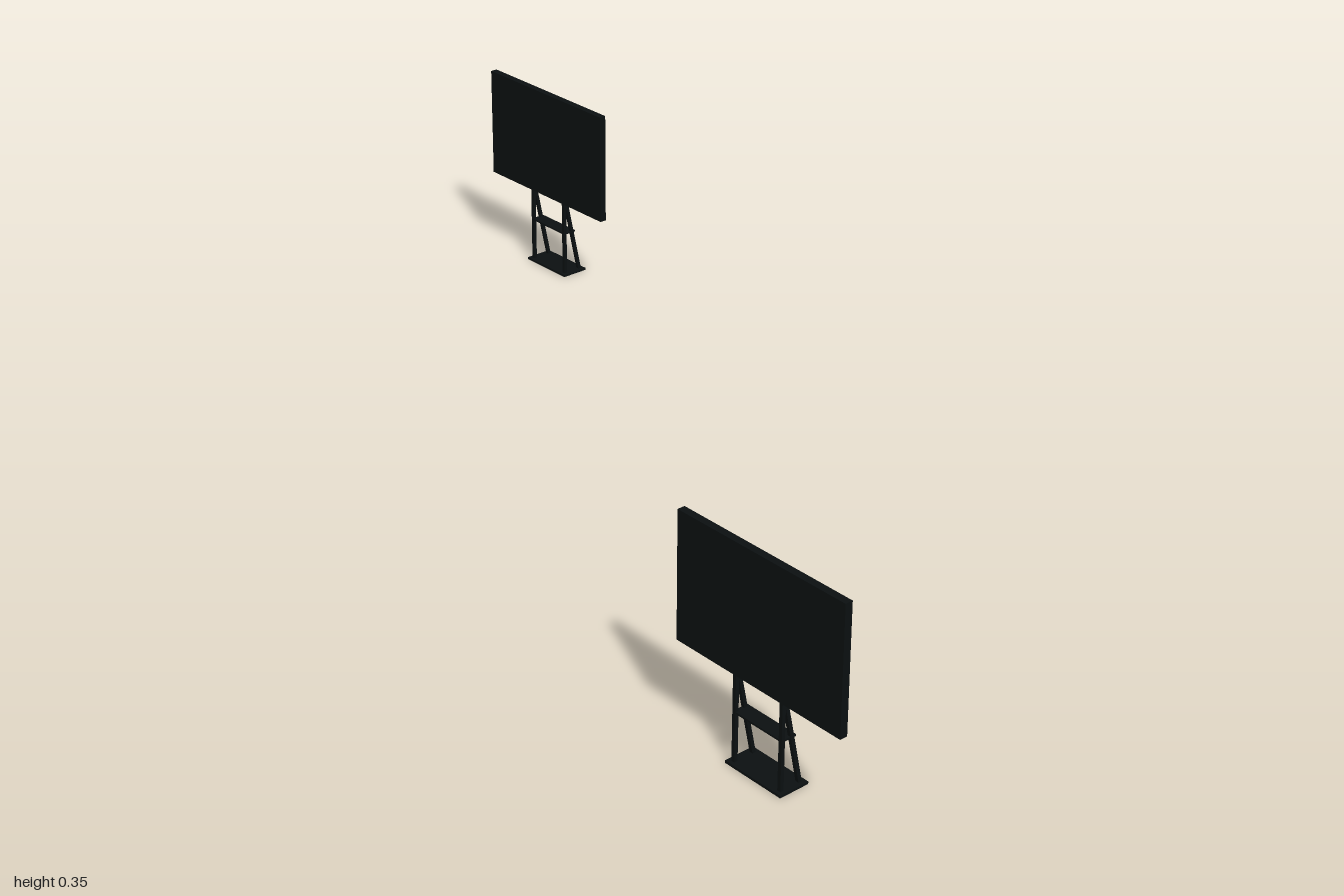
import * as THREE from 'three';

const material = new THREE.MeshStandardMaterial({ color: 0x0b1011 });

function box(name, w, h, d, x, y, z) {
  const mesh = new THREE.Mesh(new THREE.BoxGeometry(w, h, d), material);
  mesh.name = name;
  mesh.position.set(x, y, z);
  return mesh;
}

// Square bar running between two points
function bar(name, size, from, to) {
  const mesh = box(name, size, from.distanceTo(to), size, 0, 0, 0);
  mesh.position.lerpVectors(from, to, 0.5);
  mesh.quaternion.setFromUnitVectors(
    new THREE.Vector3(0, 1, 0), to.clone().sub(from).normalize());
  return mesh;
}

// One board on its stand; the panel faces local +z, the braces lean back to -z
function createBoard() {
  const board = new THREE.Group();
  board.name = 'board';

  board.add(box('panel', 0.32, 0.205, 0.0125, 0, 0.2495, 0));
  board.add(box('basePlate', 0.11, 0.004, 0.052, 0, 0.002, -0.017));
  board.add(box('crossShelf', 0.096, 0.003, 0.026, 0, 0.084, -0.011));

  // Upright post and slanted brace on each side
  for (const side of [-1, 1]) {
    const x = side * 0.0457;
    board.add(box('post', 0.006, 0.16, 0.006, x, 0.08, 0));
    board.add(bar('brace', 0.006,
      new THREE.Vector3(x, 0.003, -0.034),
      new THREE.Vector3(x, 0.155, -0.002)));
  }
  return board;
}

export function createModel() {
  const model = new THREE.Group();
  model.name = 'boardPair';

  // Two parallel boards, turned the same way
  for (const z of [-0.8575, 0.8575]) {
    const board = createBoard();
    board.position.z = z;
    board.rotation.y = THREE.MathUtils.degToRad(-60.5);
    model.add(board);
  }
  return model;
}
